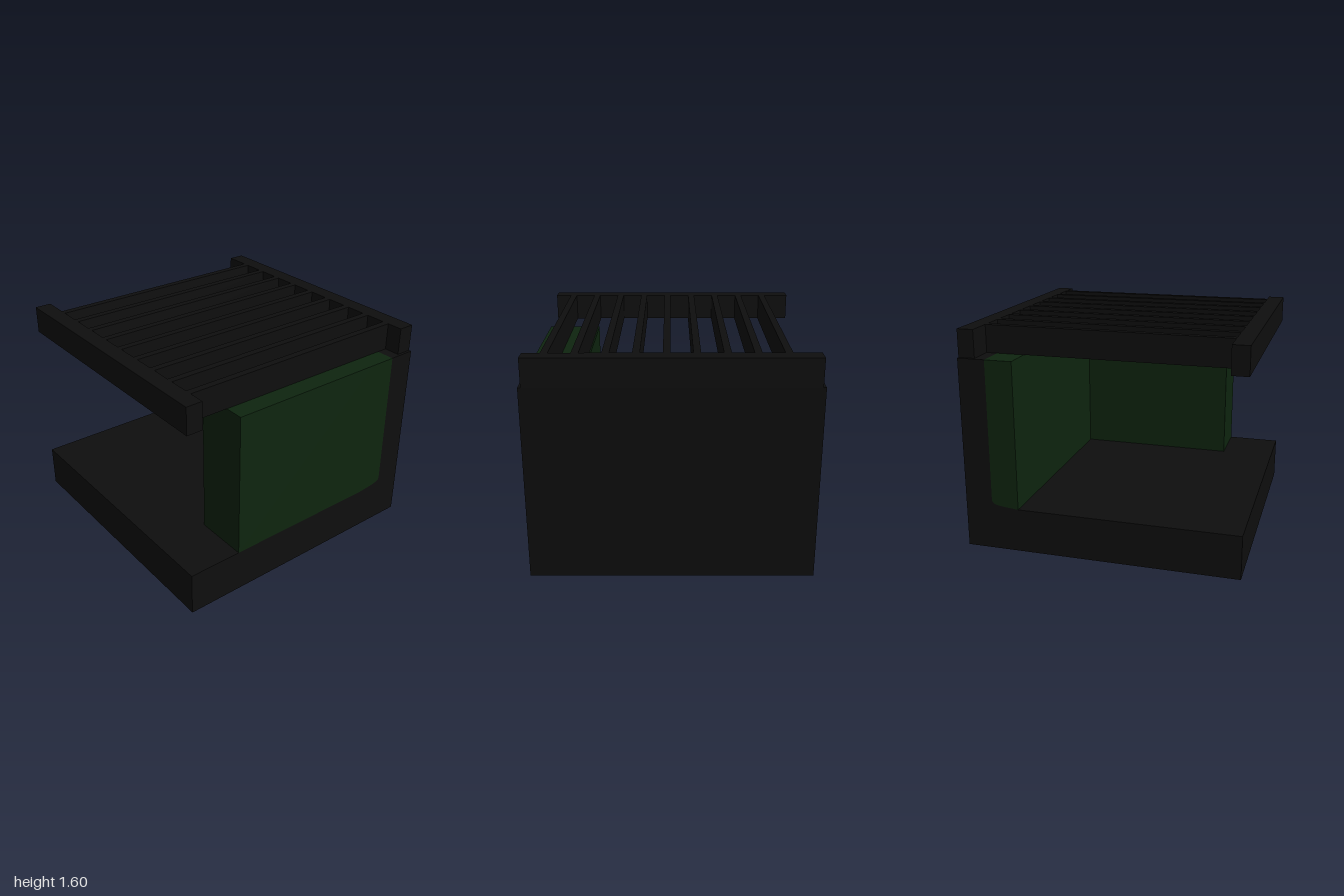
import * as THREE from 'three';

export function createModel() {
  const model = new THREE.Group();
  const black = new THREE.MeshStandardMaterial({ name: 'black frame', color: 0x0e0e0e });
  const green = new THREE.MeshStandardMaterial({ name: 'dark green cushion', color: 0x0e250f });

  function add(name, geometry, material) {
    const mesh = new THREE.Mesh(geometry, material);
    mesh.name = name;
    model.add(mesh);
  }

  // box given by its minimum and maximum corners
  function box(name, material, [x0, y0, z0], [x1, y1, z1]) {
    const g = new THREE.BoxGeometry(x1 - x0, y1 - y0, z1 - z0);
    g.translate((x0 + x1) / 2, (y0 + y1) / 2, (z0 + z1) / 2);
    add(name, g, material);
  }

  // side profile in (z, y), extruded across the full width in x
  function profile(name, material, draw) {
    const shape = new THREE.Shape();
    draw(shape);
    const g = new THREE.ExtrudeGeometry(shape, { depth: 2, bevelEnabled: false, curveSegments: 8 });
    g.translate(0, 0, -1);
    g.rotateY(-Math.PI / 2); // shape x becomes z
    add(name, g, material);
  }

  // L-shaped base and back, with a soft inner corner
  profile('baseAndBack', black, (s) => {
    s.moveTo(-1, 0);
    s.lineTo(1, 0);
    s.lineTo(1, 0.32);
    s.lineTo(-0.6, 0.32);
    s.bezierCurveTo(-0.7, 0.33, -0.8, 0.33, -0.8, 0.37);
    s.lineTo(-0.8, 1.4);
    s.lineTo(-1, 1.4);
  });

  // back cushion fitted against the soft corner
  profile('backCushion', green, (s) => {
    s.moveTo(-0.6, 0.32);
    s.lineTo(-0.6, 1.4);
    s.lineTo(-0.8, 1.4);
    s.lineTo(-0.8, 0.37);
    s.bezierCurveTo(-0.8, 0.33, -0.7, 0.33, -0.6, 0.32);
  });

  box('sideCushion', green, [0.6, 0.32, -0.6], [1, 1.4, 0.6]);

  // roof: two cross beams with slats between them
  box('frontBeam', black, [-0.98, 1.4, 0.88], [0.98, 1.6, 1]);
  box('backBeam', black, [-0.98, 1.4, -1], [0.98, 1.6, -0.88]);
  for (let i = 0; i < 9; i++) {
    const x = -0.79 + i * 0.2;
    box('roofSlat', black, [x, 1.4, -0.88], [x + 0.05, 1.6, 0.88]);
  }

  return model;
}
